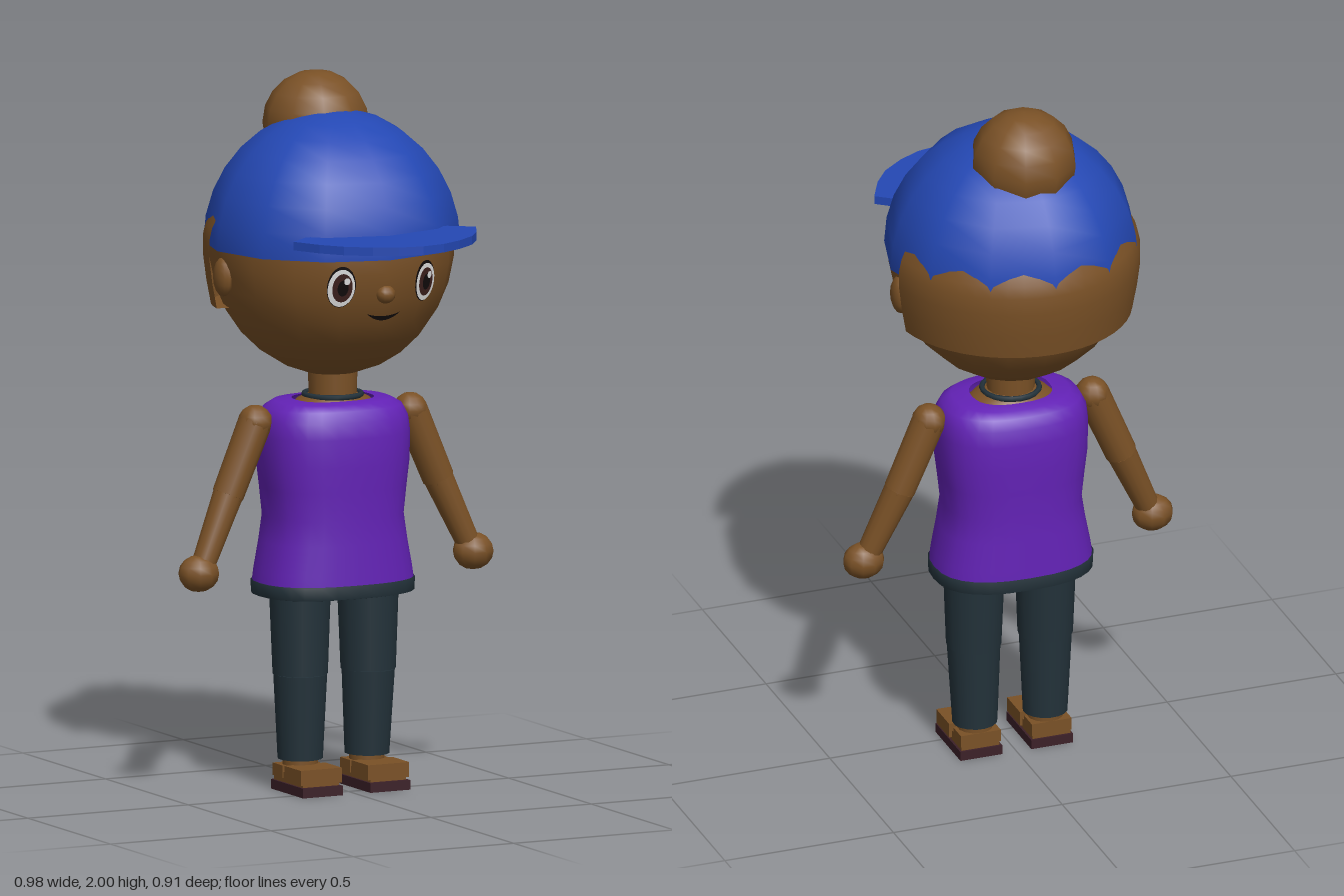
import * as THREE from 'three';
import { toCreasedNormals } from 'three/addons/utils/BufferGeometryUtils.js';

const mat = (name, color, side = THREE.FrontSide) => {
  const m = new THREE.MeshStandardMaterial({ color, side });
  m.name = name;
  return m;
};

const HEAD = { y: 1.53, z: -0.1, rx: 0.342, ry: 0.37, rz: 0.342 };
const BODY_Z = -0.095;

// Closed rounded rings [y, halfWidth, halfDepth], bottom to top
function loft(rings, power = 2, segs = 28) {
  const pos = [], idx = [];
  const sq = v => Math.sign(v) * Math.pow(Math.abs(v), 2 / power);
  rings.forEach(([y, rx, rz], i) => {
    for (let j = 0; j < segs; j++) {
      const a = (j / segs) * Math.PI * 2;
      pos.push(rx * sq(Math.sin(a)), y, rz * sq(Math.cos(a)));
      if (i < rings.length - 1) {
        const k = (j + 1) % segs, p = i * segs, q = p + segs;
        idx.push(p + j, p + k, q + j, p + k, q + k, q + j);
      }
    }
  });
  const g = new THREE.BufferGeometry();
  g.setAttribute('position', new THREE.Float32BufferAttribute(pos, 3));
  g.setIndex(idx);
  g.computeVertexNormals();
  return g;
}

// Lays a flat geometry given in x, y onto the front of the head
function onFace(g, lift) {
  const p = g.attributes.position;
  for (let i = 0; i < p.count; i++) {
    const u = p.getX(i) / HEAD.rx, v = (p.getY(i) - HEAD.y) / HEAD.ry;
    p.setZ(i, HEAD.z + HEAD.rz * Math.sqrt(Math.max(0, 1 - u * u - v * v)) + lift);
  }
  g.computeVertexNormals();
  return g;
}

const spot = (x, y, rx, ry, lift) =>
  onFace(new THREE.CircleGeometry(1, 24).scale(rx, ry, 1).translate(x, y, 0), lift);

export function createModel() {
  const model = new THREE.Group();
  const D = THREE.DoubleSide;
  const skin = mat('brown skin and hair', 0x7a5126, D);
  const blue = mat('cap blue', 0x2448b4, D);
  const purple = mat('top purple', 0x6322b6, D);
  const slate = mat('trouser slate', 0x23323a, D);
  const maroon = mat('sole maroon', 0x3c2028);
  const white = mat('eye white', 0xf0f0f0);
  const iris = mat('iris brown', 0x40221f);
  const black = mat('outline black', 0x120c0c);

  const add = (name, geo, material, x = 0, y = 0, z = 0) => {
    const m = new THREE.Mesh(geo, material);
    m.name = name;
    m.position.set(x, y, z);
    model.add(m);
    return m;
  };
  const ball = (name, material, r, x, y, z, w = 12, h = 8) =>
    add(name, new THREE.SphereGeometry(1, w, h).scale(...r), material, x, y, z);
  const limb = (name, material, a, b, ra, rb, segs = 14) => {
    const dir = new THREE.Vector3().subVectors(b, a);
    const m = add(name, new THREE.CylinderGeometry(rb, ra, dir.length(), segs), material);
    m.position.copy(a).addScaledVector(dir, 0.5);
    m.quaternion.setFromUnitVectors(new THREE.Vector3(0, 1, 0), dir.normalize());
  };

  // Head, cap and bun
  add('head', new THREE.SphereGeometry(1, 16, 8, 0, Math.PI * 2, Math.PI * 0.47, Math.PI * 0.53)
    .scale(HEAD.rx, HEAD.ry, HEAD.rz), skin, 0, HEAD.y, HEAD.z);
  add('cap', new THREE.SphereGeometry(1, 12, 8, 0, Math.PI * 2, 0, Math.PI / 2)
    .scale(0.357, 0.375, 0.357), blue, 0, HEAD.y, HEAD.z);
  ball('hairBun', skin, [0.15, 0.15, 0.15], 0, 1.85, -0.197, 10, 10);

  // Cap brim
  const outer = [[0.285, 0.22], [0.245, 0.3], [0.2, 0.36], [0.135, 0.41], [0.07, 0.443]];
  const mirrored = outer.map(([x, z]) => [-x, z]).reverse();
  const brim = new THREE.Shape([[0.22, 0.17], ...outer, [0, 0.455], ...mirrored, [-0.22, 0.17], [0, 0.2]]
    .map(([x, z]) => new THREE.Vector2(x, z)));
  add('capBrim', new THREE.ExtrudeGeometry(brim, { depth: 0.024, bevelEnabled: false })
    .rotateX(Math.PI / 2), blue, 0, 1.598, 0);

  // Hair shell around the back; it meets the cap in a wavy line
  const hairProfile = [[0.3, 1.36], [0.336, 1.36], [0.349, 1.43], [0.358, 1.5], [0.358, 1.55],
    [0.35, 1.585], [0.33, 1.625]].map(([r, y]) => new THREE.Vector2(r, y));
  const start = Math.PI * 0.55;
  add('backHair', toCreasedNormals(
    new THREE.LatheGeometry(hairProfile, 22, start, (Math.PI - start) * 2), 0.9), skin, 0, 0, HEAD.z);

  // Face
  ball('nose', skin, [0.028, 0.026, 0.026], 0, 1.43, 0.225);
  const smile = new THREE.Shape();
  smile.moveTo(-0.052, 1.376);
  smile.quadraticCurveTo(0, 1.332, 0.052, 1.376);
  smile.quadraticCurveTo(0, 1.358, -0.052, 1.376);
  add('mouth', onFace(new THREE.ShapeGeometry(smile, 10), 0.006), black);

  for (const s of [1, -1]) {
    const side = s > 0 ? 'left' : 'right';
    // Eye layers and ear
    add(side + 'EyeOutline', spot(s * 0.13, 1.457, 0.037, 0.059, 0.003), black);
    add(side + 'EyeWhite', spot(s * 0.131, 1.454, 0.035, 0.054, 0.006), white);
    add(side + 'Iris', spot(s * 0.13, 1.455, 0.026, 0.041, 0.009), iris);
    add(side + 'Pupil', spot(s * 0.13, 1.455, 0.014, 0.023, 0.012), black);
    add(side + 'EyeGlint', spot(s * 0.13 + 0.008, 1.475, 0.008, 0.01, 0.015), white);
    ball(side + 'Ear', skin, [0.025, 0.055, 0.04], s * 0.334, 1.455, -0.11);

    // Arm
    const shoulder = new THREE.Vector3(s * 0.242, 1.043, BODY_Z);
    const elbow = new THREE.Vector3(s * 0.328, 0.845, -0.093);
    const wrist = new THREE.Vector3(s * 0.412, 0.66, -0.077);
    ball(side + 'Shoulder', skin, [0.048, 0.048, 0.05], ...shoulder);
    limb(side + 'UpperArm', skin, shoulder, elbow, 0.048, 0.045);
    ball(side + 'Elbow', skin, [0.043, 0.043, 0.043], ...elbow);
    limb(side + 'Forearm', skin, elbow, wrist, 0.043, 0.034);
    ball(side + 'Hand', skin, [0.06, 0.052, 0.05], s * 0.428, 0.634, -0.075, 10, 8);

    // Leg
    const hip = new THREE.Vector3(s * 0.106, 0.59, -0.088);
    const knee = new THREE.Vector3(s * 0.106, 0.328, -0.086);
    const ankle = new THREE.Vector3(s * 0.104, 0.09, -0.09);
    limb(side + 'Thigh', slate, hip, knee, 0.087, 0.077, 16);
    limb(side + 'Shin', slate, knee, ankle, 0.075, 0.063, 16);
    limb(side + 'Ankle', skin, ankle, new THREE.Vector3(s * 0.104, 0.05, -0.09), 0.05, 0.05);

    // Sandal
    add(side + 'Sole', new THREE.BoxGeometry(0.124, 0.027, 0.195), maroon, s * 0.105, 0.0135, -0.047);
    add(side + 'Foot', new THREE.BoxGeometry(0.112, 0.03, 0.175), skin, s * 0.105, 0.041, -0.05);
    add(side + 'SandalStrap', new THREE.BoxGeometry(0.128, 0.042, 0.1), skin, s * 0.105, 0.055, -0.01);
    add(side + 'HeelStrap', new THREE.BoxGeometry(0.118, 0.035, 0.06), skin, s * 0.105, 0.056, -0.11);
  }

  // Neck, chest and necklace
  add('neck', new THREE.CylinderGeometry(0.07, 0.066, 0.13, 16), skin, 0, 1.14, BODY_Z);
  add('chest', loft([[1.06, 0.14, 0.11], [1.094, 0.105, 0.085], [1.108, 0.066, 0.066]]),
    skin, 0, 0, BODY_Z);
  add('necklace', new THREE.TorusGeometry(0.08, 0.008, 6, 20).rotateX(Math.PI / 2),
    slate, 0, 1.105, BODY_Z);

  // Sleeveless top, hem and hips
  add('sleevelessTop', loft([[0.58, 0.228, 0.165], [0.62, 0.222, 0.164], [0.7, 0.206, 0.161],
    [0.77, 0.195, 0.159], [0.85, 0.204, 0.162], [0.92, 0.213, 0.165], [1.0, 0.215, 0.166],
    [1.045, 0.21, 0.157], [1.075, 0.195, 0.143], [1.092, 0.165, 0.125], [1.096, 0.115, 0.09]], 2.5),
    purple, 0, 0, BODY_Z);
  add('hem', loft([[0.57, 0.195, 0.138], [0.55, 0.22, 0.158], [0.552, 0.229, 0.166],
    [0.588, 0.231, 0.168], [0.59, 0.22, 0.16]], 2.5), slate, 0, 0, BODY_Z);
  add('hips', loft([[0.545, 0, 0], [0.55, 0.12, 0.09], [0.565, 0.205, 0.145], [0.6, 0.2, 0.145]], 2.5),
    skin, 0, 0, BODY_Z);

  return model;
}
